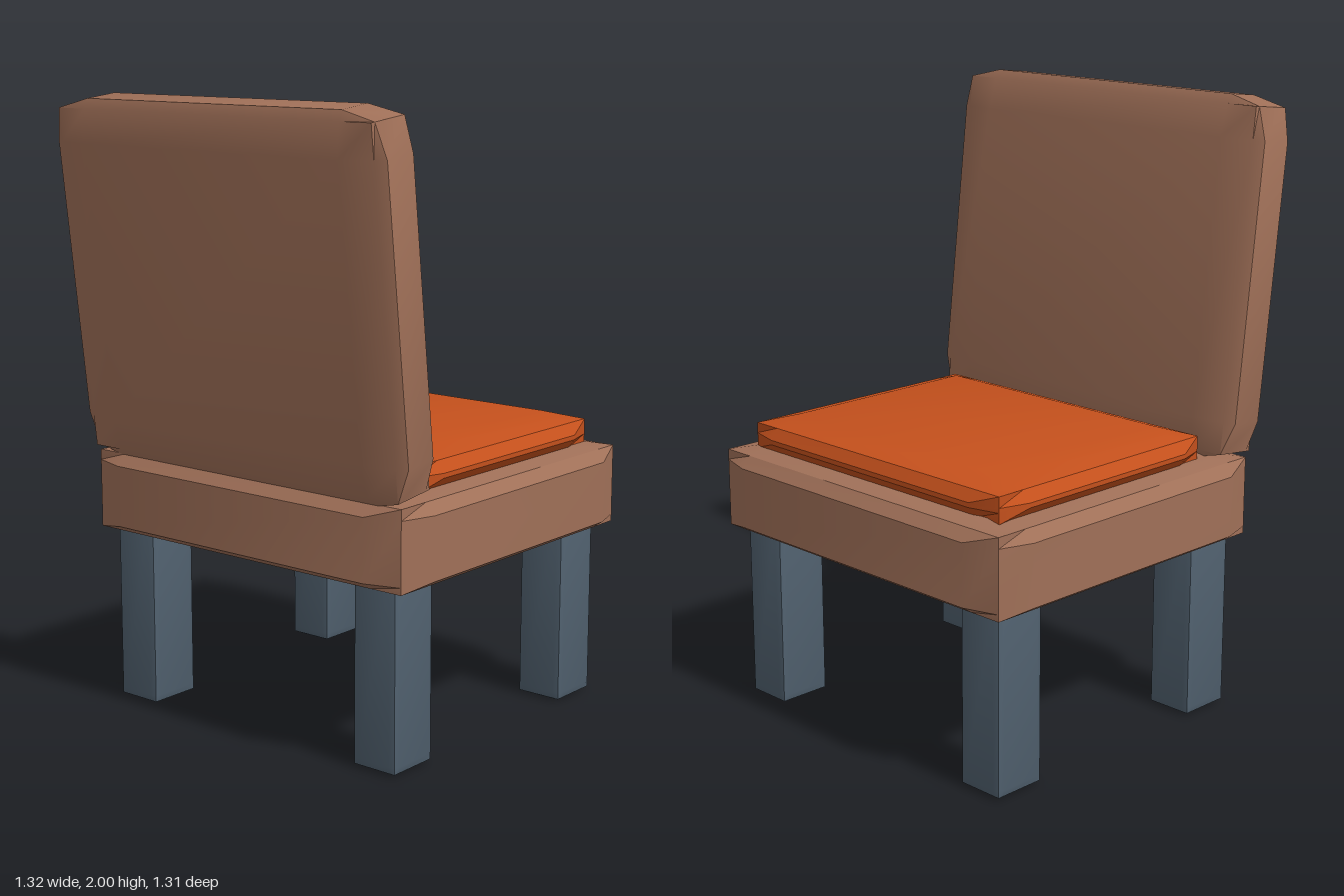
import * as THREE from 'three';
import { toCreasedNormals } from 'three/addons/utils/BufferGeometryUtils.js';

const brown = new THREE.MeshStandardMaterial({ color: 0xa07058 });
const orange = new THREE.MeshStandardMaterial({ color: 0xc4501c });
const slate = new THREE.MeshStandardMaterial({ color: 0x50606e });

// Levels along one axis: [full, edge, flat] at the low end, then the same at the high end
const sym = (full, edge, flat) => [[-full, -edge, -flat], [full, edge, flat]];

// Block with softly bevelled edges: a 3x3x3 box whose faces sit at "full",
// whose edges and corners are pulled in to "edge", and whose flat areas end at "flat"
function softBlock(name, material, x, y, z) {
  const axes = [x, y, z];
  const geometry = new THREE.BoxGeometry(1, 1, 1, 3, 3, 3);
  const pos = geometry.attributes.position;
  for (let i = 0; i < pos.count; i++) {
    const cell = [pos.getX(i), pos.getY(i), pos.getZ(i)].map((v) => Math.round((v + 0.5) * 3));
    const extremes = cell.filter((c) => c === 0 || c === 3).length;
    const p = cell.map((c, a) => {
      const [full, edge, flat] = axes[a][c < 2 ? 0 : 1];
      if (c === 1 || c === 2) return flat;
      return extremes === 1 ? full : edge;
    });
    pos.setXYZ(i, ...p);
  }
  const mesh = new THREE.Mesh(toCreasedNormals(geometry, Math.PI / 6), material);
  mesh.name = name;
  return mesh;
}

export function createModel() {
  const chair = new THREE.Group();
  chair.name = 'chair';

  // Seat base
  chair.add(softBlock('seat', brown,
    sym(0.66, 0.625, 0.51),
    [[0.58, 0.587, 0.61], [0.868, 0.845, 0.81]],
    [[-0.655, -0.62, -0.51], [0.54, 0.505, 0.39]]));

  // Seat cushion
  chair.add(softBlock('cushion', orange,
    sym(0.585, 0.557, 0.455),
    [[0.83, 0.85, 0.885], [0.965, 0.935, 0.9]],
    [[-0.575, -0.55, -0.45], [0.365, 0.342, 0.25]]));

  // Backrest, leaning away from the seat
  const back = softBlock('backrest', brown,
    sym(0.66, 0.625, 0.51),
    sym(0.58, 0.55, 0.445),
    sym(0.092, 0.074, 0.058));
  back.position.set(0, 1.417, 0.51);
  back.rotation.x = 0.115;
  chair.add(back);

  // Four legs, sunk a little into the seat
  for (const x of [-0.513, 0.492]) {
    for (const z of [-0.497, 0.373]) {
      const leg = softBlock('leg', slate,
        sym(0.083, 0.077, 0.06),
        [[0, 0.008, 0.03], [0.65, 0.642, 0.62]],
        sym(0.095, 0.088, 0.07));
      leg.position.set(x, 0, z);
      chair.add(leg);
    }
  }
  return chair;
}
